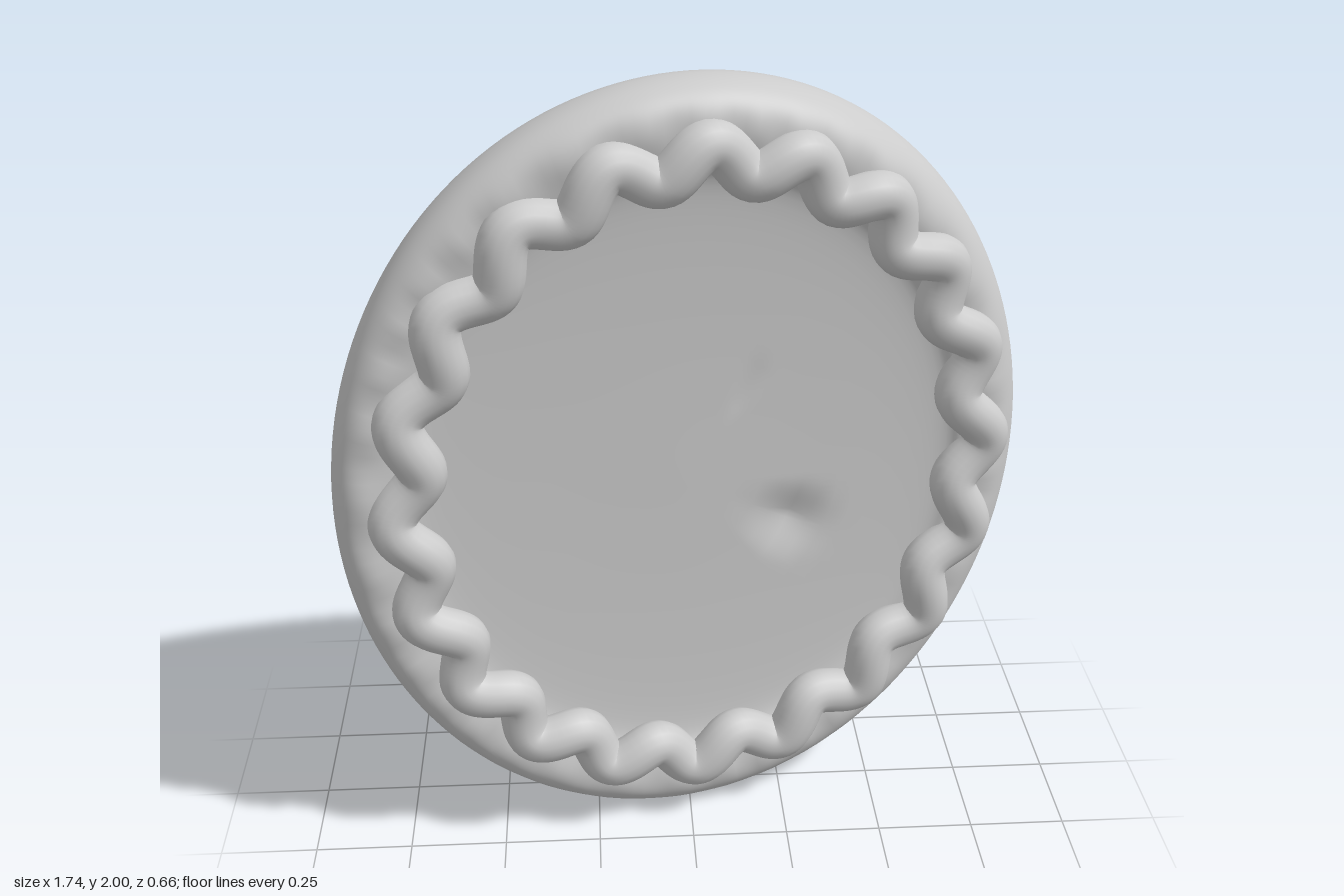
import * as THREE from 'three';
import { mergeVertices } from 'three/addons/utils/BufferGeometryUtils.js';

const RX = 0.87, RY = 1.0;

// Leans the flat disc around its upright axis and gives it a gentle saddle bend.
function warp(x, y, z) {
  return new THREE.Vector3(x, y + 1, z - 0.218 * x + 0.02 * (y * y - x * x));
}

// Shallow dents: x, y (from the centre), radius, depth, side (+1 front, -1 back)
const dents = [
  [0.26, -0.17, 0.13, 0.035, 1],
  [0.15, 0.23, 0.05, 0.008, 1],
  [-0.42, -0.13, 0.05, 0.008, -1],
  [0.4, -0.6, 0.05, 0.008, -1],
];

function discGeometry() {
  // Cross-section from the back centre, round the full rim, to the front centre
  const profile = new THREE.SplineCurve([
    [0, -0.118], [0.4, -0.125], [0.75, -0.142], [0.88, -0.149], [0.95, -0.132], [0.987, -0.09], [1, -0.01],
    [0.99, 0.06], [0.955, 0.105], [0.9, 0.122], [0.82, 0.11], [0.73, 0.08], [0.4, 0.07], [0, 0.07],
  ].map(([r, z]) => new THREE.Vector2(r, z))).getPoints(91);
  profile[0].x = profile[91].x = 0;
  let geo = new THREE.LatheGeometry(profile, 160);
  geo.rotateX(Math.PI / 2);
  geo.deleteAttribute('uv');
  geo.deleteAttribute('normal');
  geo = mergeVertices(geo, 1e-5);
  const pos = geo.attributes.position;
  for (let i = 0; i < pos.count; i++) {
    const r = Math.hypot(pos.getX(i), pos.getY(i));
    const a = Math.atan2(pos.getY(i), pos.getX(i));
    const x = pos.getX(i) * RX, y = pos.getY(i) * RY;
    let z = pos.getZ(i);
    for (const [dx, dy, rad, depth, side] of dents) {
      const d = Math.hypot(x - dx, y - dy) / rad;
      if (d < 1 && z * side > 0) z -= side * depth * (1 - d) * (1 - d * d);
    }
    // The back thins towards the top and bottom
    if (z < 0) z *= 1 - 0.32 * y ** 4;
    // Small ripples in the rim beside the piping
    if (z > 0.05) z += 0.005 * Math.sin(37 * a + 2 * Math.sin(5 * a)) * Math.exp(-(((r - 0.9) / 0.05) ** 2));
    const p = warp(x, y, z);
    pos.setXYZ(i, p.x, p.y, p.z);
  }
  geo.computeVertexNormals();
  return geo;
}

// Wavy piped ring lying on the front face
function pipingGeometry() {
  const waves = 20, count = waves * 16, points = [];
  for (let i = 0; i < count; i++) {
    const a = (i / count) * Math.PI * 2;
    const phase = waves * (a - Math.PI / 2 - 0.02 * Math.cos(2 * a));
    const swing = 0.036 * Math.cos(phase);
    points.push(warp(
      0.025 + (0.71 + swing) * Math.cos(a),
      0.01 + (0.82 + swing) * Math.sin(a),
      0.122 + 0.008 * Math.sin(phase),
    ));
  }
  return new THREE.TubeGeometry(new THREE.CatmullRomCurve3(points, true), 640, 0.06, 16, true);
}

export function createModel() {
  const group = new THREE.Group();
  group.name = 'decoratedBiscuit';
  const material = new THREE.MeshStandardMaterial({ color: 0xcccccc });
  const add = (name, geometry) => {
    const mesh = new THREE.Mesh(geometry, material);
    mesh.name = name;
    group.add(mesh);
  };
  add('biscuitDisc', discGeometry());
  add('wavyPiping', pipingGeometry());
  return group;
}
